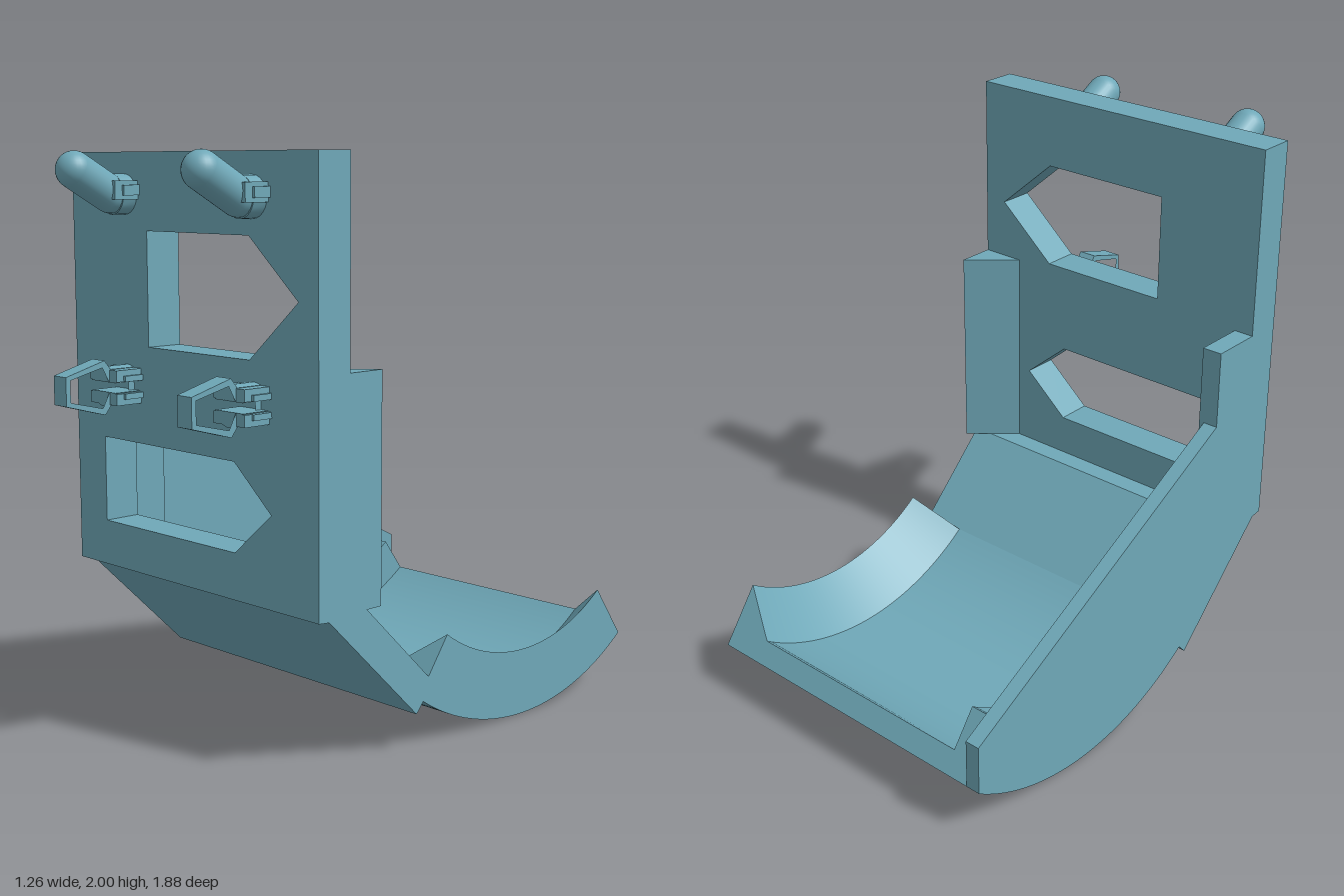
import * as THREE from 'three';
import { toCreasedNormals } from 'three/addons/utils/BufferGeometryUtils.js';

const material = new THREE.MeshStandardMaterial({ color: 0x6fa8b8 });
const shapeOf = (pts) => new THREE.Shape(pts.map(([a, b]) => new THREE.Vector2(a, b)));

function add(parent, name, geometry) {
  const mesh = new THREE.Mesh(geometry, material);
  mesh.name = name;
  parent.add(mesh);
  return mesh;
}

// Extrudes a side profile of [z, y] points between x0 and x1
function sideExtrude(pts, x0, x1, hole) {
  const shape = shapeOf(pts);
  if (hole) shape.holes.push(shapeOf(hole));
  const g = new THREE.ExtrudeGeometry(shape, { depth: x1 - x0, bevelEnabled: false });
  return g.rotateY(-Math.PI / 2).translate(x1, 0, 0);
}

// Trough arc: centre, outer / deep / rim radii and half angle
const CY = 0.963, CZ = -0.375, R_OUT = 0.963, R_DEEP = 0.878, R_RIM = 0.723, HALF = 0.627;
const W = 0.63;

function troughGeometry() {
  const profile = shapeOf([
    [-0.6, R_OUT], [W, R_OUT], [W, R_RIM], [0.46, R_DEEP],
    [-0.475, R_DEEP], [-0.475, R_RIM], [-0.6, R_RIM],
  ]);
  const g = new THREE.ExtrudeGeometry(profile, { depth: 1, steps: 48, bevelEnabled: false });
  const p = g.attributes.position;
  // Sweep the profile around the trough axis
  for (let i = 0; i < p.count; i++) {
    const r = p.getY(i), a = HALF * (1 - 2 * p.getZ(i));
    p.setXYZ(i, p.getX(i), CY - r * Math.cos(a), CZ + r * Math.sin(a));
  }
  return toCreasedNormals(g, 0.4);
}

// Plate opening with a pointed right end
const arrow = (x0, x1, tip, y0, y1) => {
  const m = (y0 + y1) / 2;
  return shapeOf([[x0, y0], [x1, y0], [tip, m], [x1, y1], [x0, y1]]);
};

// Lobed collar at the root of a peg, stepping in away from the plate
function collar(parent, y, slot) {
  const arc = (r, from, to) => Array.from({ length: 11 }, (_, i) => {
    const a = from + (to - from) * i / 10;
    return [r * Math.cos(a), r * Math.sin(a)];
  });
  for (const s of [-1, 1]) {
    const start = s > 0 ? 0.25 : Math.PI + 0.25;
    const g = new THREE.ExtrudeGeometry(shapeOf(arc(0.069, start, start + Math.PI - 0.5)),
      { depth: slot ? 0.11 : 0.06, bevelEnabled: false });
    add(parent, 'collarHalf', toCreasedNormals(g, 0.5)).position.set(0, y, 0.65);
  }
  for (const [w, h, depth] of [[0.17, 0.05, 0.05], [0.15, 0.09, 0.08]]) {
    if (slot) {
      for (const s of [-1, 1]) {
        add(parent, 'collarRib', new THREE.BoxGeometry(w, h / 2 - 0.005, depth + 0.03))
          .position.set(0, y + s * (0.018 + h / 4), 0.65 + depth / 2 + 0.015);
      }
    } else {
      add(parent, 'collarRib', new THREE.BoxGeometry(w, h * 0.7, depth + 0.02))
        .position.set(0, y + 0.015, 0.65 + depth / 2 + 0.01);
    }
  }
}

function hookPeg(x) {
  const peg = new THREE.Group();
  peg.name = 'hookPeg';
  const R = 0.064;
  const path = new THREE.CurvePath();
  const pts = [[1.857, 0.64], [1.857, 0.715], [1.939, 0.86]].map(([y, z]) => new THREE.Vector3(0, y, z));
  path.add(new THREE.LineCurve3(pts[0], pts[1]));
  path.add(new THREE.LineCurve3(pts[1], pts[2]));
  // Straight root, ball elbow, tilted shank and round tip
  path.curves.forEach((c, i) => {
    add(peg, i ? 'pegShank' : 'pegRoot', new THREE.TubeGeometry(c, 1, R, 28));
    add(peg, i ? 'pegTip' : 'pegElbow', new THREE.SphereGeometry(R, 28, 18)).position.copy(c.v2);
  });
  collar(peg, 1.857, false);
  peg.position.x = x;
  return peg;
}

function snapClip(x) {
  const clip = new THREE.Group();
  clip.name = 'snapClip';
  const Y = 1.203;
  // Hollow barbed loop, mirrored about its middle
  const mirror = (half) => [...half, ...half.map(([z, h]) => [z, -h]).reverse()].map(([z, h]) => [z, Y + h]);
  const outer = mirror([[0.65, 0.062], [0.755, 0.062], [0.78, 0.094], [0.94, 0.05]]);
  const inner = mirror([[0.68, 0.018], [0.762, 0.018], [0.79, 0.07], [0.922, 0.038]]);
  add(clip, 'clipLoop', sideExtrude(outer, -0.035, 0.035, inner));
  collar(clip, Y, true);
  clip.position.x = x;
  return clip;
}

export function createModel() {
  const model = new THREE.Group();
  model.name = 'bracket';

  // Upright plate with two pointed openings
  const plate = shapeOf([[-W, 0.54], [W, 0.54], [W, 2], [-W, 2]]);
  plate.holes.push(arrow(-0.21, 0.31, 0.54, 1.34, 1.735), arrow(-0.47, 0.23, 0.41, 0.695, 1.0));
  add(model, 'backPlate',
    new THREE.ExtrudeGeometry(plate, { depth: 0.137, bevelEnabled: false }).translate(0, 0, 0.518));

  // Sloping plate joining the upright to the trough
  add(model, 'slopedPlate', sideExtrude(
    [[0.61, 0.53], [0.2, 0.13], [0.165, 0.17], [0.14, 0.247], [0.44, 0.54], [0.655, 0.54], [0.655, 0.534]], -W, W));

  add(model, 'trough', troughGeometry());

  // Side wall following the underside of the trough
  const wall = [[0.33, 1.03], [-0.94, 0.37]];
  for (let i = 0; i <= 40; i++) {
    const a = -HALF + (2 * HALF - 0.03) * i / 40;
    wall.push([CZ + R_OUT * Math.sin(a), CY - R_OUT * Math.cos(a)]);
  }
  wall.push([0.2, 0.13], [0.61, 0.53], [0.6, 0.54], [0.33, 0.54]);
  add(model, 'sideWall', toCreasedNormals(sideExtrude(wall, -W, -0.575), 0.4));

  // Corner post on the wall side, triangular gusset on the open side
  add(model, 'cornerPost', sideExtrude([[0.325, 0.54], [0.52, 0.54], [0.52, 1.315], [0.325, 1.315]], -W, -0.555));
  const gusset = new THREE.ExtrudeGeometry(shapeOf([[0.46, -0.52], [W, -0.52], [W, -0.375]]),
    { depth: 0.775, bevelEnabled: false });
  add(model, 'gusset', gusset.rotateX(-Math.PI / 2).translate(0, 0.54, 0));

  // Mounting pegs and clips on the front of the plate
  for (const x of [-0.33, 0.33]) model.add(hookPeg(x), snapClip(x));

  return model;
}
